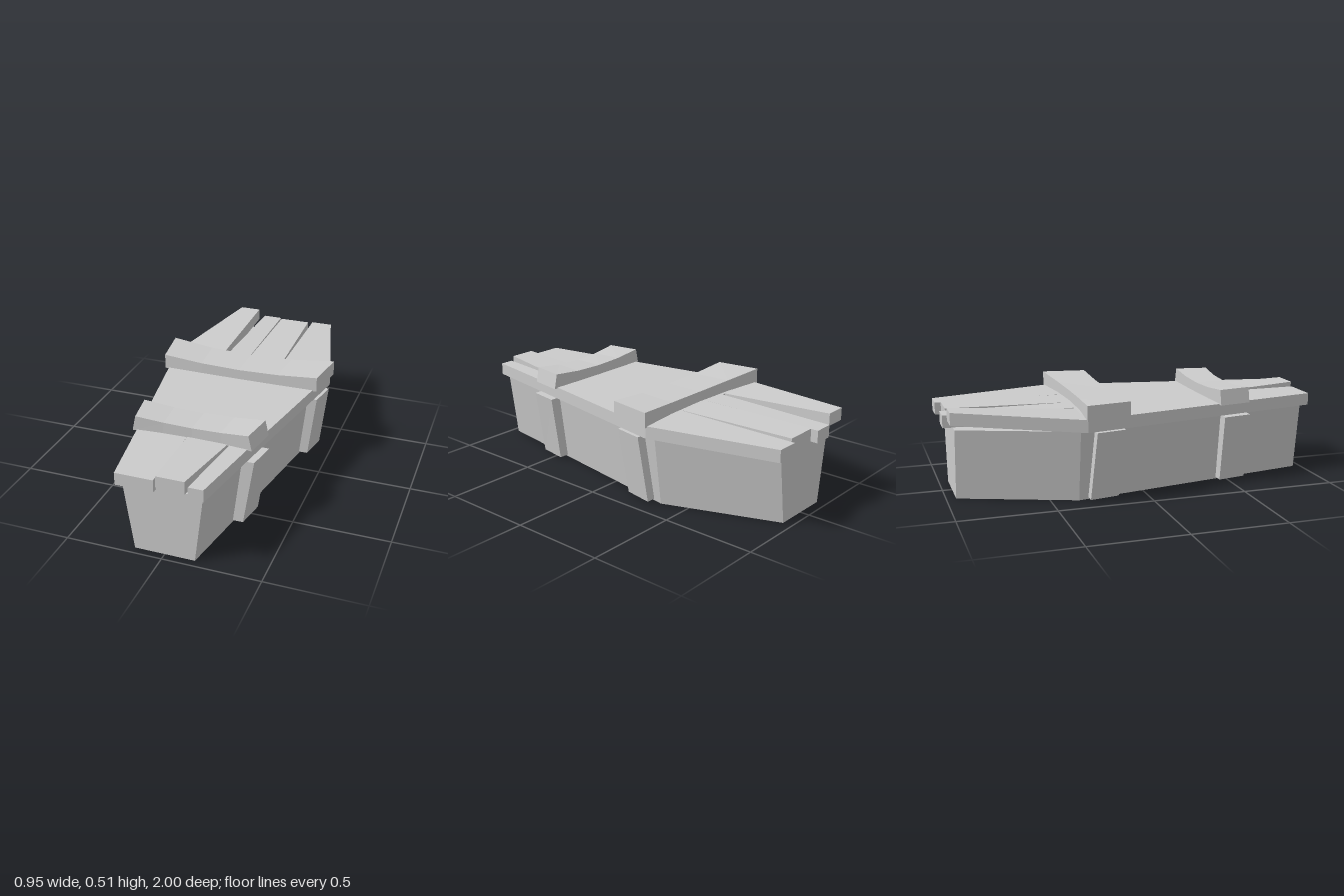
import * as THREE from 'three';

const material = new THREE.MeshStandardMaterial({ color: 0xcccccc, flatShading: true });

// Solid between a bottom and a top loop, both anticlockwise seen from above
function loft(name, bottom, top) {
  const n = bottom.length, pos = [];
  const tri = (...corners) => corners.forEach((c) => pos.push(...c));
  for (let i = 0; i < n; i++) {
    const j = (i + 1) % n;
    tri(bottom[i], bottom[j], top[j]);
    tri(bottom[i], top[j], top[i]);
    if (i > 0 && i < n - 1) {
      tri(top[0], top[i], top[i + 1]);
      tri(bottom[0], bottom[i + 1], bottom[i]);
    }
  }
  const geometry = new THREE.BufferGeometry();
  geometry.setAttribute('position', new THREE.Float32BufferAttribute(pos, 3));
  geometry.computeVertexNormals();
  const mesh = new THREE.Mesh(geometry, material);
  mesh.name = name;
  return mesh;
}

// Six-sided outline from the half widths at front, shoulder and back
function outline(y, [zf, wf], [zs, ws], [zb, wb]) {
  return [[wf, y, zf], [ws, y, zs], [wb, y, zb], [-wb, y, zb], [-ws, y, zs], [-wf, y, zf]];
}

const LID_LOW = 0.37, LID_HIGH = 0.435;

// Lid board running from its inner end to its free end, which may be lifted
function board(name, zIn, [a0, a1], zOut, [b0, b1], lift = 0) {
  const loop = (y) => {
    const inner = [[a0, y, zIn], [a1, y, zIn]];
    const outer = [[b0, y + lift, zOut], [b1, y + lift, zOut]];
    const [front, back] = zOut > zIn ? [outer, inner] : [inner, outer];
    return [front[1], back[1], back[0], front[0]];
  };
  return loft(name, loop(LID_LOW), loop(LID_HIGH));
}

// Cross beam with a sagging top and slightly bowed long edges
function crossBeam(name, zBack, zFront, wBack, wFront, taper, bow) {
  const geometry = new THREE.BoxGeometry(2, 1, 1, 4, 1, 1);
  const p = geometry.attributes.position;
  for (let i = 0; i < p.count; i++) {
    const u = p.getX(i), high = p.getY(i) > 0, back = p.getZ(i) < 0;
    const mid = 1 - u * u;
    const w = (back ? wBack : wFront) - (high ? taper : 0);
    p.setXYZ(i, u * w, high ? 0.51 - 0.021 * mid : 0.43,
      back ? zBack + bow * mid : zFront - (zFront > 0.3 ? 0.015 * mid : -0.005 * mid));
  }
  geometry.computeVertexNormals();
  const mesh = new THREE.Mesh(geometry, material);
  mesh.name = name;
  return mesh;
}

// Upright batten on one flank; rows are [z, outer x] at front and back
function batten(name, side, low, high) {
  const loop = (y, [[zf, xf], [zb, xb]]) => {
    const pts = [[xf, y, zf], [xb, y, zb], [xb - 0.07, y, zb], [xf - 0.07, y, zf]];
    return side > 0 ? pts : pts.map(([x, py, z]) => [-x, py, z]).reverse();
  };
  return loft(name, loop(0.01, low), loop(0.367, high));
}

export function createModel() {
  const model = new THREE.Group();
  model.name = 'coffin';

  // Tapered box
  model.add(loft('body',
    outline(0, [0.96, 0.155], [-0.36, 0.375], [-0.95, 0.155]),
    outline(0.371, [0.96, 0.203], [-0.36, 0.425], [-0.95, 0.205])));

  // Lid: solid middle and loose boards at both ends
  const lid = new THREE.Group();
  lid.name = 'lid';
  const middle = [[0.55, 0.298], [-0.32, 0.456], [-0.33, 0.457]];
  lid.add(
    loft('lidMiddle', outline(LID_LOW, ...middle), outline(LID_HIGH, ...middle)),
    board('frontBoardOne', 0.55, [-0.298, -0.028], 1, [-0.22, -0.025]),
    board('frontBoardTwo', 0.55, [-0.026, 0.19], 1, [-0.014, 0.13], 0.025),
    board('frontBoardThree', 0.55, [0.2, 0.298], 1, [0.145, 0.22]),
    board('backBoardOne', -0.33, [-0.457, -0.192], -0.98, [-0.287, -0.172], 0.045),
    board('backBoardTwo', -0.33, [-0.17, -0.037], -1, [-0.14, -0.035]),
    board('backBoardThree', -0.33, [-0.035, 0.164], -0.97, [-0.02, 0.15], 0.008),
    board('backBoardFour', -0.33, [0.168, 0.457], -1, [0.17, 0.287]));
  model.add(lid);

  // Beams across the lid
  model.add(
    crossBeam('shoulderBeam', -0.34, -0.105, 0.473, 0.438, 0, 0.035),
    crossBeam('footBeam', 0.425, 0.6, 0.341, 0.312, 0.018, -0.005));

  // Battens on both flanks
  for (const side of [1, -1]) {
    const label = side > 0 ? 'left' : 'right';
    model.add(
      batten(label + 'ShoulderBatten', side,
        [[-0.155, 0.39], [-0.31, 0.418]], [[-0.13, 0.437], [-0.285, 0.464]]),
      batten(label + 'FootBatten', side,
        [[0.6, 0.27], [0.445, 0.297]], [[0.6, 0.325], [0.445, 0.351]]));
  }
  return model;
}
